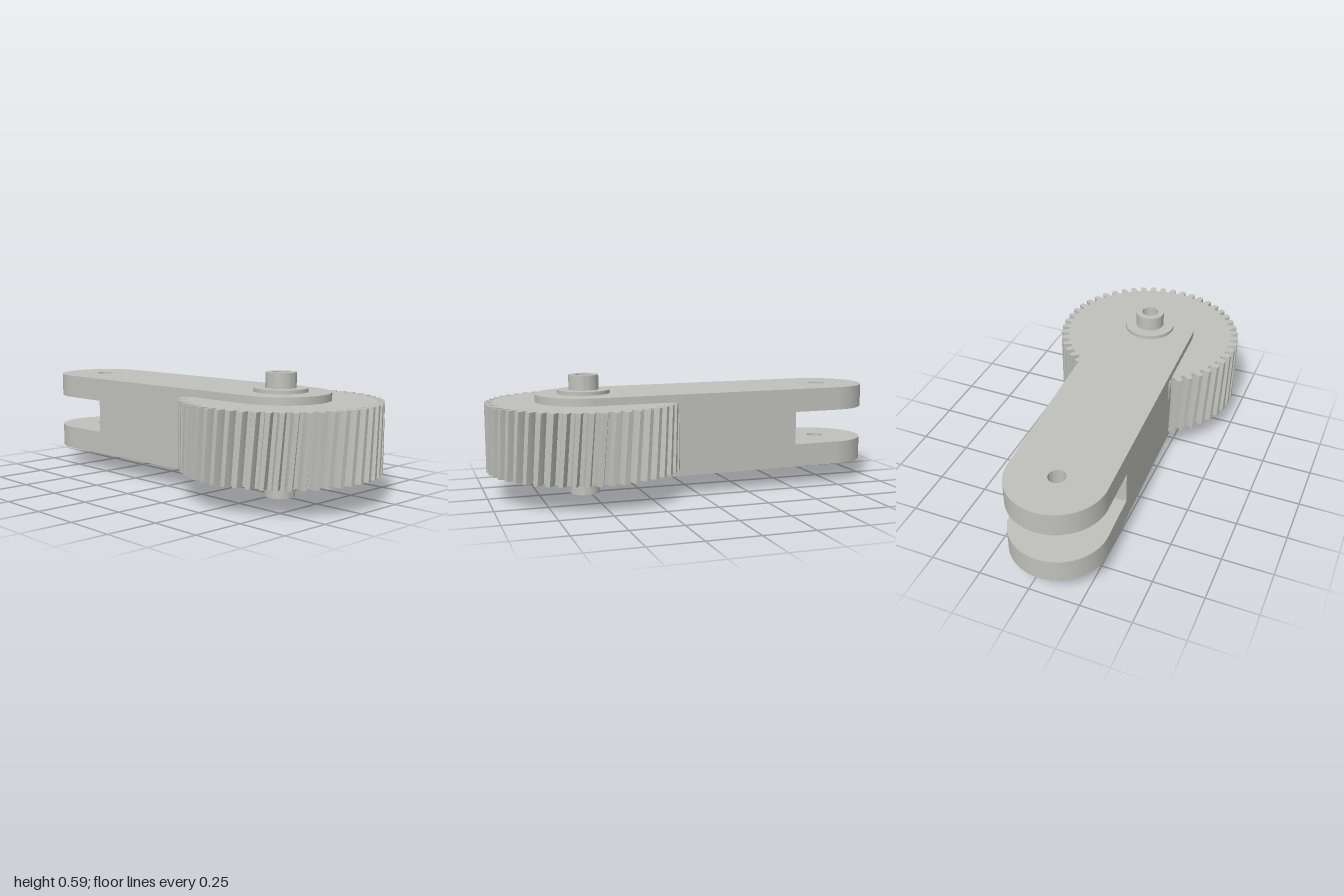
import * as THREE from 'three';
import { toCreasedNormals } from 'three/addons/utils/BufferGeometryUtils.js';

const TAU = Math.PI * 2;

export function createModel() {
  const model = new THREE.Group();
  model.name = 'gearArm';
  const steel = new THREE.MeshStandardMaterial({ color: 0xc0c0bc });
  steel.name = 'grey steel';

  const add = (parent, name, geometry) => {
    const mesh = new THREE.Mesh(toCreasedNormals(geometry, 0.5), steel);
    mesh.name = name;
    parent.add(mesh);
    return mesh;
  };
  // Extrudes an outline upward from y0 to y1
  const slab = (shape, y0, y1, steps = 1) =>
    new THREE.ExtrudeGeometry(shape, { depth: y1 - y0, steps, bevelEnabled: false, curveSegments: 40 })
      .rotateX(-Math.PI / 2).translate(0, y0, 0);
  const hole = (x, r) => new THREE.Path().absarc(x, 0, r, 0, TAU, true);

  // Everything is laid out around the gear axle
  const axle = new THREE.Group();
  axle.name = 'axleAssembly';
  axle.position.x = 0.522;
  model.add(axle);

  // Arm, slightly swung about the axle
  const arm = new THREE.Group();
  arm.name = 'arm';
  arm.rotation.y = 0.0389;
  axle.add(arm);
  const R = 0.237, L = 1.286;
  const plate = new THREE.Shape();
  plate.absarc(0, 0, R, -Math.PI / 2, Math.PI / 2, false);
  plate.absarc(-L, 0, R, Math.PI / 2, Math.PI * 1.5, false);
  plate.closePath();
  plate.holes.push(hole(0, 0.06), hole(-L, 0.042));
  add(arm, 'lowerPlate', slab(plate, 0.097, 0.213));
  add(arm, 'upperPlate', slab(plate, 0.38, 0.497));

  // Solid web between the fork slot and the gear
  const web = new THREE.Shape([[-1.045, -R], [-0.25, -R], [-0.25, R], [-1.045, R]]
    .map(([x, y]) => new THREE.Vector2(x, y)));
  add(arm, 'web', slab(web, 0.213, 0.38));

  // Helical gear
  const teeth = 50, pitch = TAU / teeth;
  const tooth = [[-0.34, 0.438], [-0.27, 0.46], [-0.17, 0.477], [0.17, 0.477], [0.27, 0.46], [0.34, 0.438]];
  const outline = [];
  for (let i = 0; i < teeth; i++) {
    for (const [offset, r] of tooth) {
      const a = (i + offset) * pitch;
      outline.push(new THREE.Vector2(r * Math.cos(a), r * Math.sin(a)));
    }
  }
  const gearShape = new THREE.Shape(outline);
  gearShape.holes.push(hole(0, 0.06));
  const gear = slab(gearShape, 0.13, 0.46, 3);
  const p = gear.attributes.position, v = new THREE.Vector3(), up = new THREE.Vector3(0, 1, 0);
  for (let i = 0; i < p.count; i++) {
    v.fromBufferAttribute(p, i);
    v.applyAxisAngle(up, 0.055 * (v.y - 0.13) / 0.33);
    p.setXYZ(i, v.x, v.y, v.z);
  }
  add(axle, 'helicalGear', gear);

  // Hollow shaft with a collar above and below
  const profile = [[0.042, 0], [0.073, 0], [0.073, 0.075], [0.128, 0.075], [0.128, 0.515],
    [0.073, 0.515], [0.073, 0.588], [0.042, 0.588], [0.042, 0]];
  add(axle, 'hollowShaft', new THREE.LatheGeometry(profile.map(([x, y]) => new THREE.Vector2(x, y)), 48));

  return model;
}
